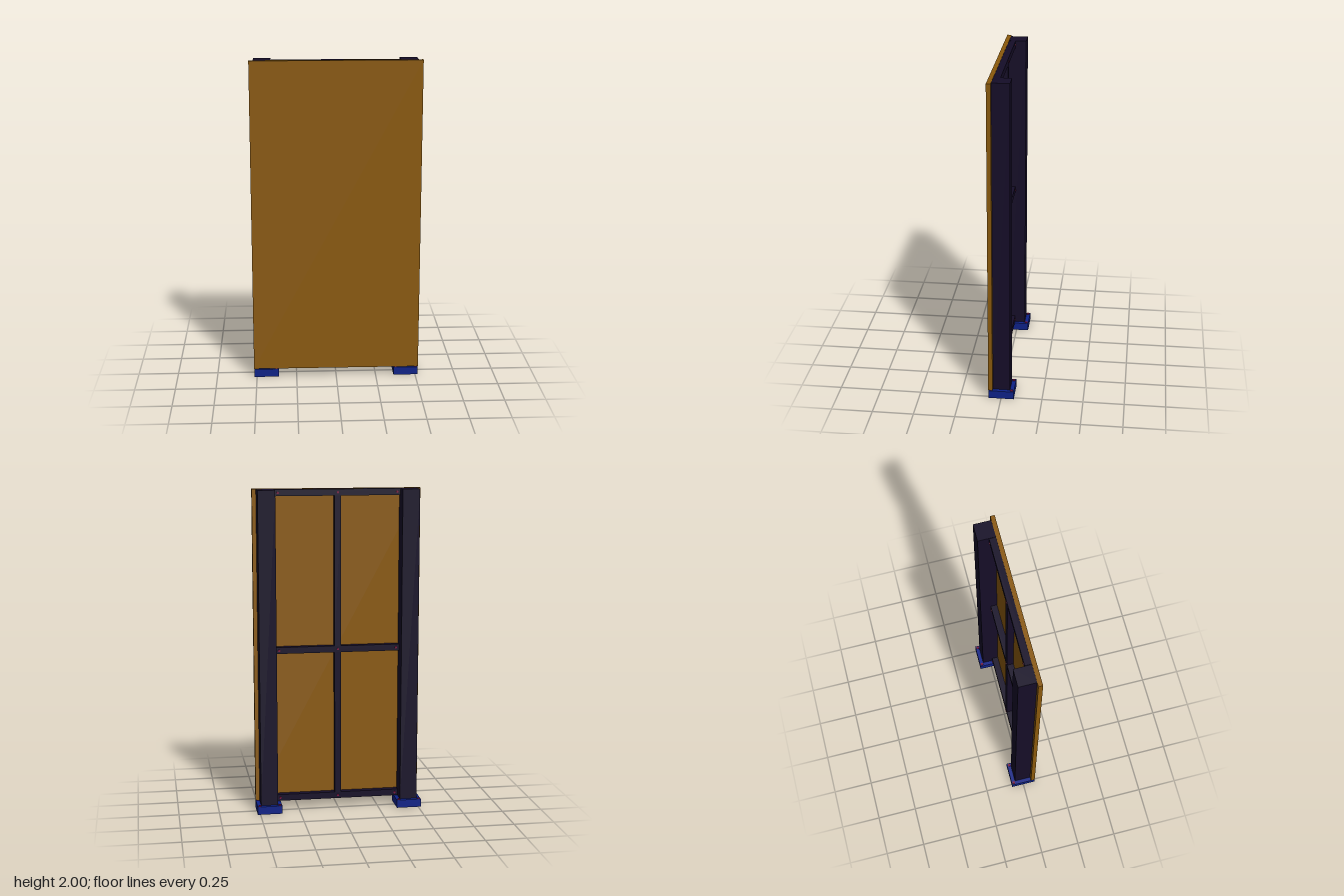
import * as THREE from 'three';

export function createModel() {
  const group = new THREE.Group();
  const mat = (color) => new THREE.MeshStandardMaterial({ color });
  const wood = mat(0x8b5a0c), steel = mat(0x150d28), blue = mat(0x0e2288), red = mat(0x7a1040);

  // box given by its lower and upper corners
  const box = (name, material, [x0, y0, z0], [x1, y1, z1]) => {
    const mesh = new THREE.Mesh(new THREE.BoxGeometry(x1 - x0, y1 - y0, z1 - z0), material);
    mesh.position.set((x0 + x1) / 2, (y0 + y1) / 2, (z0 + z1) / 2);
    mesh.name = name;
    group.add(mesh);
  };
  const screw = (name, radius, height, x, y, z, tilt = 0) => {
    const mesh = new THREE.Mesh(new THREE.CylinderGeometry(radius, radius, height, 16), red);
    mesh.position.set(x, y, z);
    mesh.rotation.x = tilt;
    mesh.name = name;
    group.add(mesh);
  };

  const bottom = 0.055, top = 2, bar = 0.04, back = 0.012, front = 0.052;
  const middle = 1.015, inner = 0.385;

  // face panel
  box('panel', wood, [-0.518, bottom, front], [0.518, top, 0.078]);

  // posts on foot blocks, each block held by four bolts
  for (const side of [-1, 1]) {
    const c = side * 0.44;
    box('foot', blue, [c - 0.077, 0, -0.078], [c + 0.077, 0.05, 0.078]);
    box('post', steel, [c - 0.053, 0.05, -0.053], [c + 0.053, top - 0.002, front]);
    for (const dx of [-0.063, 0.063])
      for (const z of [-0.064, 0.064]) screw('footBolt', 0.009, 0.006, c + dx, 0.052, z);
  }

  // horizontal rails with a screw at each end and at the centre
  for (const y of [bottom + bar / 2, middle, top - bar / 2 - 0.002]) {
    box('rail', steel, [-inner, y - bar / 2, back], [inner, y + bar / 2, front]);
    for (const x of [-0.365, 0, 0.365]) screw('railScrew', 0.007, 0.008, x, y, back, Math.PI / 2);
  }

  // centre stile in two lengths between the rails
  for (const [y0, y1] of [[bottom + bar, middle - bar / 2], [middle + bar / 2, top - bar - 0.002]])
    box('stile', steel, [-bar / 2, y0, back], [bar / 2, y1, front]);

  return group;
}
